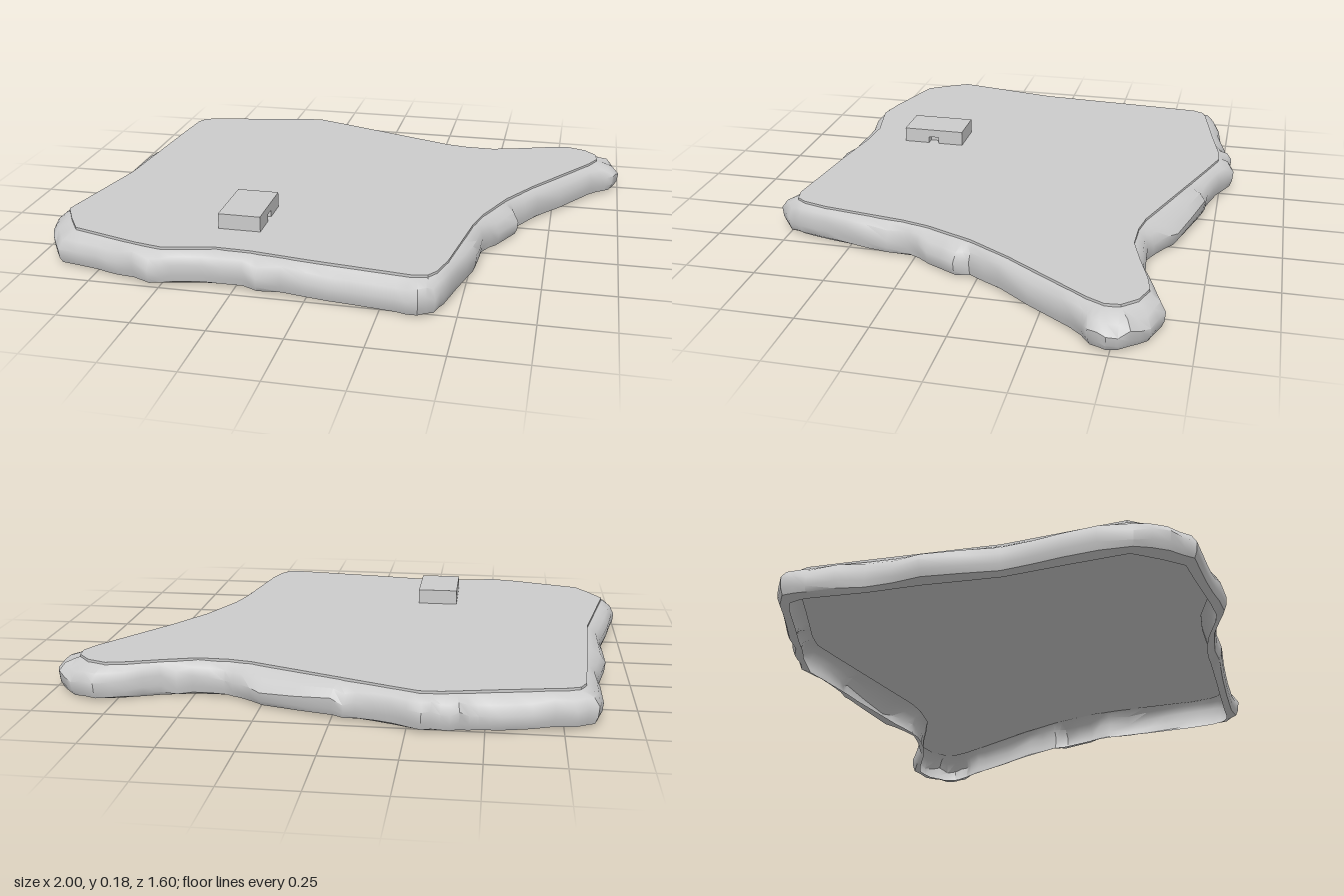
import * as THREE from 'three';
import { toCreasedNormals } from 'three/addons/utils/BufferGeometryUtils.js';

const grey = () => new THREE.MeshStandardMaterial({ color: 0xcccccc, side: THREE.DoubleSide });
const pairs = (a) => a.flatMap((v, i) => (i % 2 ? [] : [new THREE.Vector2(v, a[i + 1])]));

// Outlines as x, z pairs, running from the back left corner to the right
const rockOutline = pairs([
  -0.79, -0.705, -0.65, -0.73, -0.55, -0.755, -0.48, -0.755, -0.42, -0.785, -0.36, -0.78,
  -0.3, -0.8, -0.2, -0.75, -0.08, -0.715, 0, -0.71, 0.25, -0.635, 0.33, -0.58,
  0.39, -0.545, 0.5, -0.552, 0.61, -0.56, 0.72, -0.61, 0.82, -0.65, 0.91, -0.615,
  0.97, -0.56, 1, -0.49, 0.98, -0.43, 0.93, -0.4, 0.86, -0.32, 0.7, -0.09,
  0.62, 0.03, 0.64, 0.08, 0.58, 0.19, 0.53, 0.27, 0.525, 0.43, 0.48, 0.59,
  0.455, 0.7, 0.43, 0.755, 0.38, 0.8, 0.3, 0.775, 0.15, 0.755, 0, 0.74,
  -0.17, 0.73, -0.22, 0.715, -0.36, 0.71, -0.46, 0.73, -0.54, 0.745, -0.66, 0.71,
  -0.75, 0.685, -0.9, 0.655, -0.95, 0.58, -1, 0.47, -0.96, 0.25, -0.91, 0.05,
  -0.915, -0.2, -0.87, -0.39, -0.88, -0.58, -0.86, -0.67,
]);
const slabOutline = pairs([
  -0.76, -0.655, -0.55, -0.695, -0.36, -0.735, -0.29, -0.738, -0.18, -0.7, 0.3, -0.525,
  0.38, -0.51, 0.49, -0.508, 0.6, -0.54, 0.72, -0.58, 0.79, -0.595, 0.86, -0.57,
  0.905, -0.52, 0.91, -0.47, 0.88, -0.41, 0.68, -0.12, 0.59, 0.03, 0.52, 0.2,
  0.495, 0.3, 0.45, 0.6, 0.425, 0.69, 0.4, 0.725, 0.35, 0.735, 0, 0.695,
  -0.2, 0.667, -0.32, 0.663, -0.5, 0.7, -0.6, 0.68, -0.85, 0.605, -0.9, 0.53,
  -0.945, 0.45, -0.865, 0.05, -0.835, -0.4, -0.82, -0.6, -0.8, -0.64,
]);

// Nearest point to p on a closed outline
function nearestOn(outline, p) {
  let best = null, bestD = Infinity;
  outline.forEach((a, i) => {
    const d = outline[(i + 1) % outline.length].clone().sub(a);
    const t = THREE.MathUtils.clamp(p.clone().sub(a).dot(d) / d.lengthSq(), 0, 1);
    const q = a.clone().addScaledVector(d, t);
    if (q.distanceTo(p) < bestD) { bestD = q.distanceTo(p); best = q; }
  });
  return best;
}

// Rough rock wall, open underneath: a profile swept round between the outlines
function rockRim() {
  // spread: 0 at the slab, 1 at the outermost edge; rough: unevenness
  const profile = [
    { spread: -0.1, y: 0.123, rough: 0 },
    { spread: 0.2, y: 0.117, rough: 0.002 },
    { spread: 0.7, y: 0.1, rough: 0.008 },
    { spread: 1, y: 0.07, rough: 0.012 },
    { spread: 0.95, y: 0.036, rough: 0.008 },
    { spread: 0.8, y: 0.014, rough: 0.004 },
    { spread: 0.25, y: 0.004, rough: 0 }, // narrow lip under the wall
  ];
  const outer = rockOutline.flatMap((p, i) =>
    [p, p.clone().lerp(rockOutline[(i + 1) % rockOutline.length], 0.5)]);
  const n = outer.length, pos = [], index = [];
  profile.forEach(({ spread, y, rough }, k) => outer.forEach((o, i) => {
    const p = nearestOn(slabOutline, o).lerp(o, spread);
    pos.push(p.x, y + rough * Math.sin(i * 1.1 + Math.sin(i * 0.7) * 2), p.y);
    if (k === profile.length - 1) return;
    const a = k * n + i, b = k * n + (i + 1) % n;
    index.push(a, b, a + n, b, b + n, a + n);
  }));
  const g = new THREE.BufferGeometry();
  g.setAttribute('position', new THREE.Float32BufferAttribute(pos, 3));
  g.setIndex(index);
  return toCreasedNormals(g, 0.7);
}

export function createModel() {
  const group = new THREE.Group();
  const add = (name, geometry) => {
    const mesh = new THREE.Mesh(geometry, grey());
    mesh.name = name;
    group.add(mesh);
    return mesh;
  };

  add('rockRim', rockRim());

  // Flat ground slab lying on the rim
  const top = new THREE.Shape(slabOutline.map((p) => new THREE.Vector2(p.x, -p.y)));
  const slab = new THREE.ExtrudeGeometry(top, { depth: 0.015, bevelEnabled: false });
  add('groundSlab', slab.rotateX(-Math.PI / 2).translate(0, 0.115, 0));

  // Small block house, with a doorway on its left side
  add('house', new THREE.BoxGeometry(0.12, 0.055, 0.235)).position.set(-0.302, 0.158, 0.395);
  const wall = new THREE.Shape(pairs([
    -0.1175, 0, -0.02, 0, -0.02, 0.025, 0.02, 0.025, 0.02, 0, 0.1175, 0, 0.1175, 0.055, -0.1175, 0.055,
  ]));
  const front = new THREE.ExtrudeGeometry(wall, { depth: 0.03, bevelEnabled: false });
  add('doorWall', front.rotateY(Math.PI / 2)).position.set(-0.242, 0.1305, 0.395);

  return group;
}
